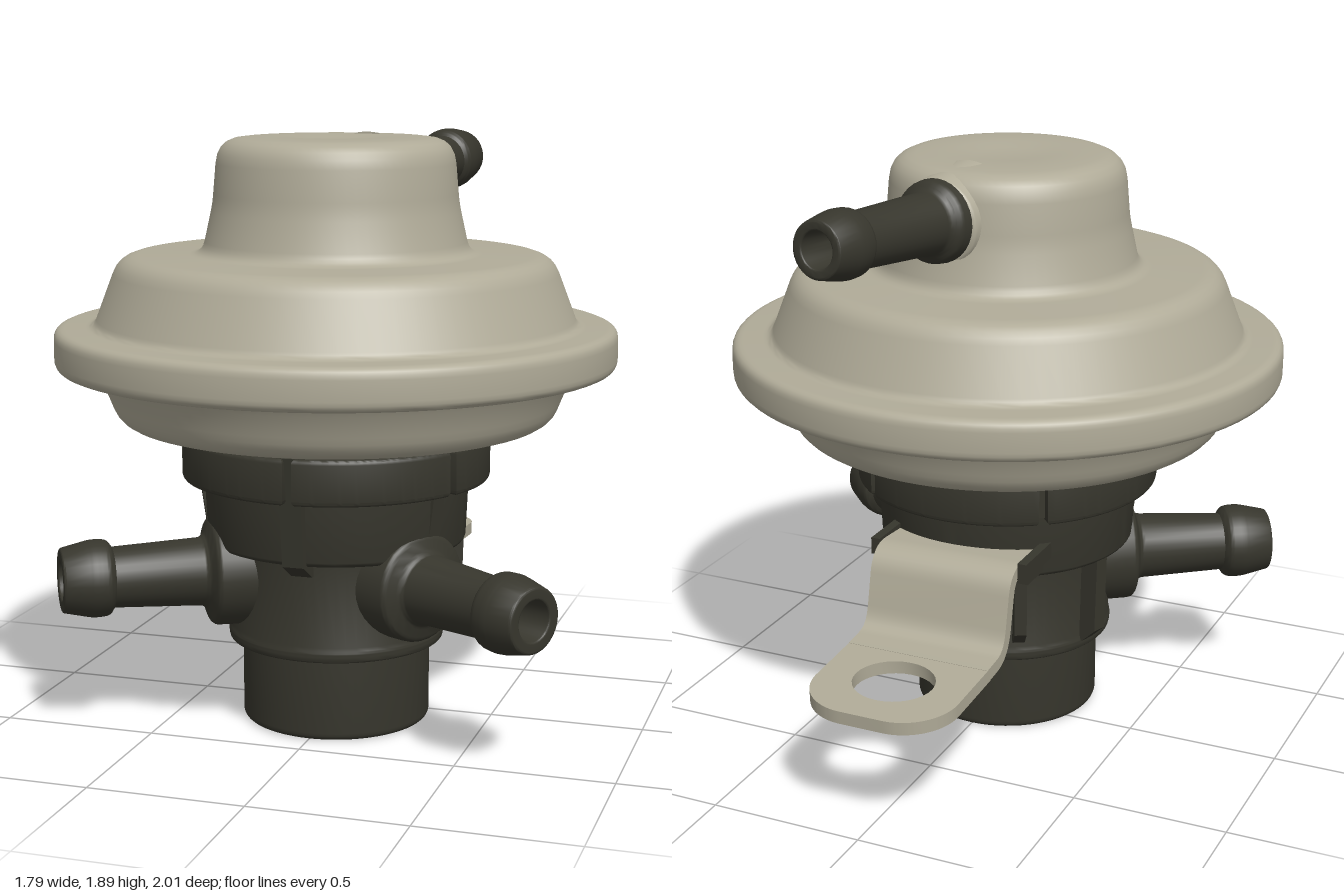
import * as THREE from 'three';
import { toCreasedNormals } from 'three/addons/utils/BufferGeometryUtils.js';

const AXIS_Z = 0.11;
const V2 = (x, y) => new THREE.Vector2(x, y);

// Polyline [x, y, cornerRadius] with its corners rounded
function rounded(pts, steps = 5) {
  const out = [];
  pts.forEach(([x, y, r = 0], i) => {
    const p = V2(x, y);
    if (!r || i === 0 || i === pts.length - 1) { out.push(p); return; }
    const trim = (q) => {
      const d = V2(q[0], q[1]).sub(p);
      return p.clone().addScaledVector(d.clone().normalize(), Math.min(r, d.length() * 0.48));
    };
    const curve = new THREE.QuadraticBezierCurve(trim(pts[i - 1]), p, trim(pts[i + 1]));
    out.push(...curve.getPoints(steps));
  });
  return out;
}

const lathe = (pts, seg = 64) => toCreasedNormals(new THREE.LatheGeometry(rounded(pts), seg), 0.6);

export function createModel() {
  const model = new THREE.Group();
  model.name = 'vacuumValve';
  const metal = new THREE.MeshStandardMaterial({ color: 0xb0ab98 });
  metal.name = 'beige metal';
  const plastic = new THREE.MeshStandardMaterial({ color: 0x37362d });
  plastic.name = 'dark plastic';

  const add = (name, geo, mat, parent = model) => {
    const mesh = new THREE.Mesh(geo, mat);
    mesh.name = name;
    parent.add(mesh);
    return mesh;
  };

  const core = new THREE.Group();
  core.name = 'core';
  core.position.z = AXIS_Z;
  model.add(core);

  // Pressed metal diaphragm housing: lower dish, rolled rim, shoulder, cap
  add('diaphragmHousing', lathe([
    [0, 0.95], [0.47, 0.95], [0.48, 0.982, 0.01], [0.69, 0.985, 0.07], [0.735, 1.1, 0.04],
    [0.77, 1.165, 0.02], [0.895, 1.165, 0.035], [0.895, 1.297, 0.035], [0.77, 1.297, 0.025],
    [0.685, 1.52, 0.06], [0.425, 1.522, 0.04], [0.39, 1.68, 0.03], [0.372, 1.885, 0.08],
    [0.16, 1.888], [0.1, 1.88], [0, 1.88],
  ], 80), metal, core);

  // Moulded valve body with stepped barrel and bottom plug
  add('valveBody', lathe([
    [0, 0], [0.305, 0, 0.025], [0.305, 0.27], [0.348, 0.27, 0.01], [0.352, 0.3, 0.01],
    [0.345, 0.32], [0.35, 0.585], [0.42, 0.6, 0.02], [0.43, 0.82], [0.465, 0.82], [0.465, 0.955], [0, 0.955],
  ]), plastic, core);

  // Collar made of separate pads, with slots between
  const slots = [-143, -64, 0, 64, 143, 217];
  for (let i = 0; i < 5; i++) {
    const a = THREE.MathUtils.degToRad(slots[i] + 3 - 90);
    const b = THREE.MathUtils.degToRad(slots[i + 1] - 3 - 90);
    const pad = new THREE.Shape();
    pad.absarc(0, 0, 0.485, a, b, false);
    pad.absarc(0, 0, 0.41, b, a, true);
    const geo = new THREE.ExtrudeGeometry(pad, {
      depth: 0.115, bevelThickness: 0.015, bevelSize: 0.012, bevelSegments: 3, curveSegments: 24,
    });
    geo.rotateX(-Math.PI / 2).translate(0, 0.82, 0);
    // Shape angle -90 degrees lands on +z
    add('collarPad', toCreasedNormals(geo, 0.6), plastic, core);
  }

  // Upright ribs: [angle from front, bottom, top, outer radius, width]
  [[0, 0.55, 0.95, 0.485, 0.07], [108, 0.3, 0.83, 0.42, 0.05], [-108, 0.3, 0.83, 0.42, 0.05],
    [150, 0.34, 0.83, 0.42, 0.04], [-150, 0.34, 0.83, 0.42, 0.04],
    [64, 0.6, 0.83, 0.445, 0.05], [-64, 0.6, 0.83, 0.445, 0.05]].forEach(([deg, y0, y1, r, w]) => {
    const side = new THREE.Shape([
      V2(-0.3, y0), V2(-0.355, y0), V2(-(0.355 + r) / 2 - 0.02, y0 + 0.05), V2(-r, y1), V2(-0.3, y1),
    ].reverse());
    const geo = new THREE.ExtrudeGeometry(side, { depth: w, bevelEnabled: false });
    geo.translate(0, 0, -w / 2).rotateY(Math.PI / 2);
    add('rib', geo, plastic, core).rotation.y = THREE.MathUtils.degToRad(deg);
  });

  // Hollow barbed hose connector pointing from one point to another
  function nozzle(name, from, to, r, barb, flange, flangeLen) {
    const L = from.distanceTo(to);
    const geo = lathe([
      [0, 0], [flange, 0], [flange * 0.97, flangeLen, 0.02], [r * 1.08, flangeLen + 0.02, 0.02],
      [r * 0.95, L - 0.165], [barb * 0.97, L - 0.15, 0.015], [barb, L - 0.1, 0.02],
      [barb * 0.82, L, 0.008], [r * 0.62, L, 0.008], [r * 0.56, L - 0.16], [0, L - 0.16],
    ], 32);
    const mesh = add(name, geo, plastic);
    mesh.position.copy(from);
    mesh.quaternion.setFromUnitVectors(new THREE.Vector3(0, 1, 0), to.clone().sub(from).normalize());
  }
  for (const s of [1, -1]) {
    const dir = new THREE.Vector3(s * Math.cos(0.56), 0, Math.sin(0.56));
    const at = (d) => new THREE.Vector3(0, 0.508, AXIS_Z).addScaledVector(dir, d);
    nozzle(s > 0 ? 'leftNozzle' : 'rightNozzle', at(0.22), at(0.9), 0.102, 0.125, 0.18, 0.2);
  }
  nozzle('vacuumNozzle', new THREE.Vector3(0.066, 1.742, -0.265),
    new THREE.Vector3(0.165, 1.778, -0.85), 0.09, 0.106, 0.132, 0.05);

  // Metal boss that blends the vacuum nozzle into the cap
  const boss = add('capBoss', lathe([[0, 0], [0.16, 0], [0.138, 0.2, 0.02], [0, 0.2]], 32), metal);
  boss.position.set(0.045, 1.735, -0.085);
  boss.rotation.set(-Math.PI / 2, 0, -0.1);

  // Mounting bracket: bent strip swept across its width
  const t = 0.021, bx = -0.02, w = 0.48;
  const path = rounded([[0.22, 0.675], [0.43, 0.69, 0.07], [0.485, 0.44, 0.08], [0.62, 0.427]], 8);
  const edge = (sign) => path.map((p, i) => {
    const d = path[Math.min(i + 1, path.length - 1)].clone().sub(path[Math.max(i - 1, 0)]).normalize();
    return V2(p.x - d.y * t * sign, p.y + d.x * t * sign);
  });
  const strip = new THREE.Shape([...edge(-1), ...edge(1).reverse()]);
  const stripGeo = new THREE.ExtrudeGeometry(strip, { depth: w, bevelEnabled: false });
  stripGeo.rotateY(Math.PI / 2).translate(bx - w / 2, 0, 0);
  add('bracketBend', toCreasedNormals(stripGeo, 0.6), metal);

  // Bracket tab with rounded corners and a bolt hole
  const h = w / 2, len = 0.4, c = 0.17;
  const tab = new THREE.Shape();
  tab.moveTo(-h, 0);
  tab.lineTo(h, 0);
  tab.lineTo(h, len - c);
  tab.absarc(h - c, len - c, c, 0, Math.PI / 2, false);
  tab.absarc(-h + c, len - c, c, Math.PI / 2, Math.PI, false);
  tab.closePath();
  const hole = new THREE.Path();
  hole.absellipse(0, 0.18, 0.13, 0.12, 0, Math.PI * 2, true);
  tab.holes.push(hole);
  const tabGeo = new THREE.ExtrudeGeometry(tab, { depth: 2 * t, bevelEnabled: false, curveSegments: 16 });
  tabGeo.rotateX(-Math.PI / 2);
  const tabMesh = add('bracketTab', toCreasedNormals(tabGeo, 0.6), metal);
  tabMesh.position.set(bx, 0.427 - t, -0.6);
  tabMesh.rotation.x = -0.06;

  // Dark lug and gussets that hold the bracket
  const lug = add('bracketLug', new THREE.BoxGeometry(0.5, 0.04, 0.2), plastic);
  lug.position.set(bx, 0.64, -0.24);
  for (const s of [1, -1]) {
    const cheek = add('lugCheek', new THREE.BoxGeometry(0.03, 0.055, 0.26), plastic);
    cheek.position.set(bx + s * 0.255, 0.688, -0.27);
    const gusset = add('lugGusset', new THREE.BoxGeometry(0.05, 0.12, 0.12), plastic);
    gusset.position.set(bx + s * 0.12, 0.64, -0.225);
  }
  return model;
}
